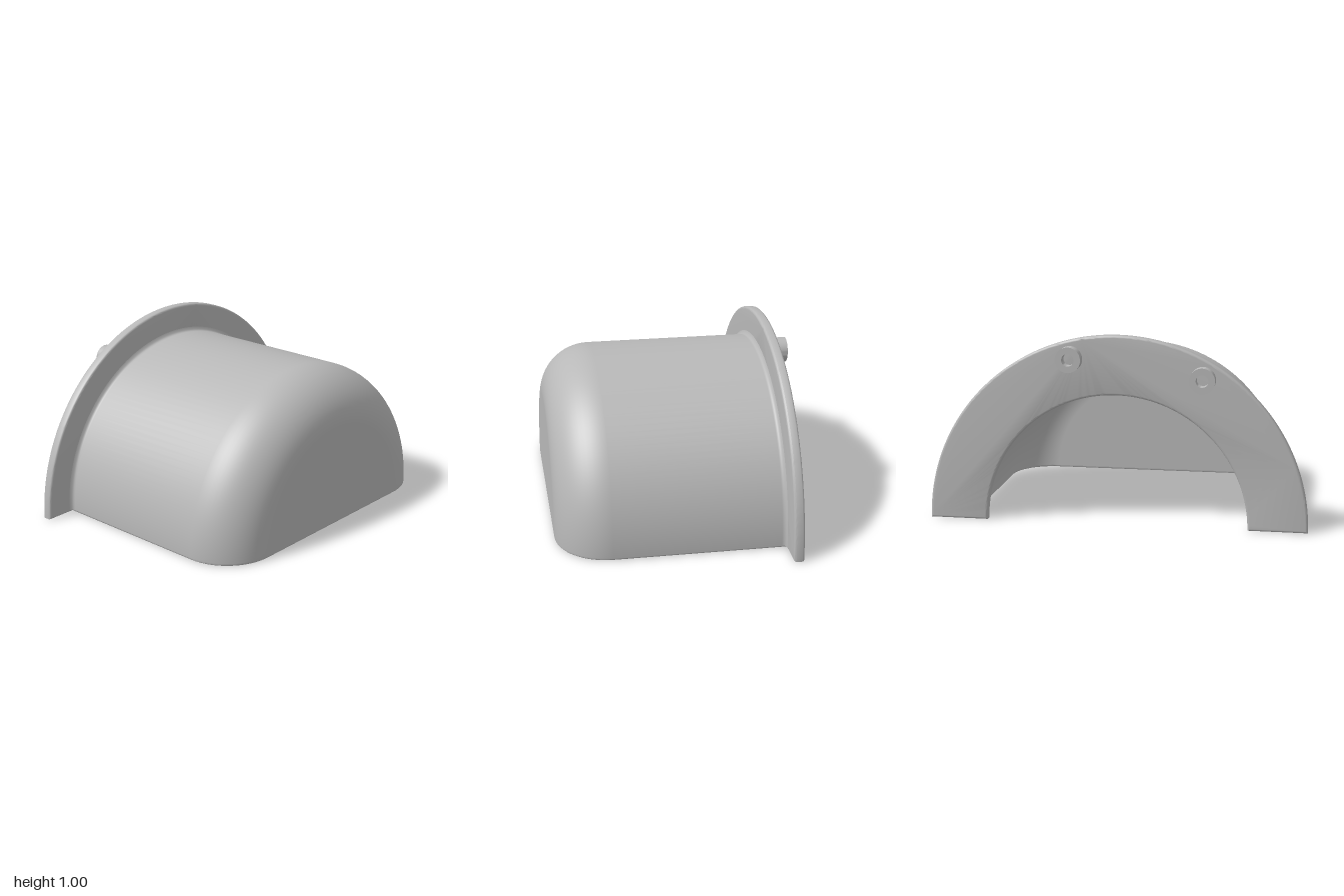
import * as THREE from 'three';
import { toCreasedNormals } from 'three/addons/utils/BufferGeometryUtils.js';

const grey = new THREE.MeshStandardMaterial({ color: 0xb8b8b8 });
grey.name = 'plain grey';

const WALL = 0.05, RADIUS = 0.84, FRONT = 0.65, FILLET = 0.28;
const FLANGE_FRONT = -0.54, FLANGE_BACK = -0.595, EDGE = 0.012;

function add(group, name, geometry) {
  const mesh = new THREE.Mesh(geometry, grey);
  mesh.name = name;
  group.add(mesh);
  return mesh;
}

// Rounded quarter corner from the side wall to the front wall, as (radius, z)
function corner(radius, front, fillet) {
  const points = [];
  for (let i = 0; i <= 16; i++) {
    const a = (i / 16) * Math.PI / 2;
    points.push(new THREE.Vector2(
      radius - fillet + fillet * Math.cos(a), front - fillet + fillet * Math.sin(a)));
  }
  return points;
}

// Half turn of a (radius, z) profile about the z axis, raised onto the rim
function halfTurn(points) {
  const g = new THREE.LatheGeometry(points, 72, Math.PI / 2, Math.PI);
  g.rotateX(Math.PI / 2);
  g.scale(1, (RADIUS - EDGE) / RADIUS, 1);
  g.translate(0, EDGE, 0);
  return g;
}

// Extrusion with softly rounded edges that keeps the outline at full size
function rounded(shape, thickness, edge) {
  return toCreasedNormals(new THREE.ExtrudeGeometry(shape, {
    depth: thickness - 2 * edge, bevelThickness: edge, bevelSize: edge,
    bevelOffset: -edge, bevelSegments: 3, curveSegments: 72,
  }).translate(0, 0, edge), 0.6);
}

export function createModel() {
  const model = new THREE.Group();
  model.name = 'halfRoundHood';
  const v = (x, y) => new THREE.Vector2(x, y);

  // Hood: outer skin with a small fillet at the flange, and inner skin
  const outer = corner(RADIUS, FRONT, FILLET);
  const inner = corner(RADIUS - WALL, FRONT - WALL, FILLET - WALL);
  add(model, 'hoodOutside', halfTurn([
    v(0.862, FLANGE_FRONT), v(0.848, -0.535), v(0.841, -0.526), v(RADIUS, -0.515),
    ...outer, v(0, FRONT)]));
  add(model, 'hoodInside', halfTurn([
    v(0, FRONT - WALL), ...inner.slice().reverse(), v(RADIUS - WALL, FLANGE_FRONT - 0.02)]));

  // Rounded lower rim following the U-shaped wall
  const back = FLANGE_FRONT - 0.02;
  const mirror = (points) => points.slice().reverse().map((p) => v(-p.x, p.y));
  const rimShape = new THREE.Shape([
    v(RADIUS, back), ...outer, ...mirror(outer), v(-RADIUS, back),
    v(WALL - RADIUS, back), ...inner.map((p) => v(-p.x, p.y)),
    ...inner.slice().reverse(), v(RADIUS - WALL, back)]);
  const rim = rounded(rimShape, 2 * EDGE + 0.002, EDGE);
  rim.rotateX(Math.PI / 2).translate(0, 2 * EDGE + 0.002, 0);
  add(model, 'lowerRim', rim);

  // Half-ring flange
  const ring = new THREE.Shape();
  ring.absarc(0, 0, 1, 0, Math.PI, false);
  ring.absarc(0, 0, 0.69, Math.PI, 0, true);
  ring.closePath();
  add(model, 'flange', rounded(ring, FLANGE_FRONT - FLANGE_BACK, EDGE))
    .position.z = FLANGE_BACK;

  // Two hollow bosses on the back of the flange
  const bossShape = new THREE.Shape().absarc(0, 0, 0.066, 0, Math.PI * 2, false);
  bossShape.holes.push(new THREE.Path().absarc(0, 0, 0.032, 0, Math.PI * 2, true));
  const bossGeometry = toCreasedNormals(new THREE.ExtrudeGeometry(bossShape, {
    depth: 0.06, bevelEnabled: false, curveSegments: 24 }), 0.6);
  for (const degrees of [75, 120]) {
    const a = THREE.MathUtils.degToRad(degrees);
    add(model, 'boss', bossGeometry)
      .position.set(0.907 * Math.cos(a), 0.907 * Math.sin(a), -0.65);
  }
  return model;
}
